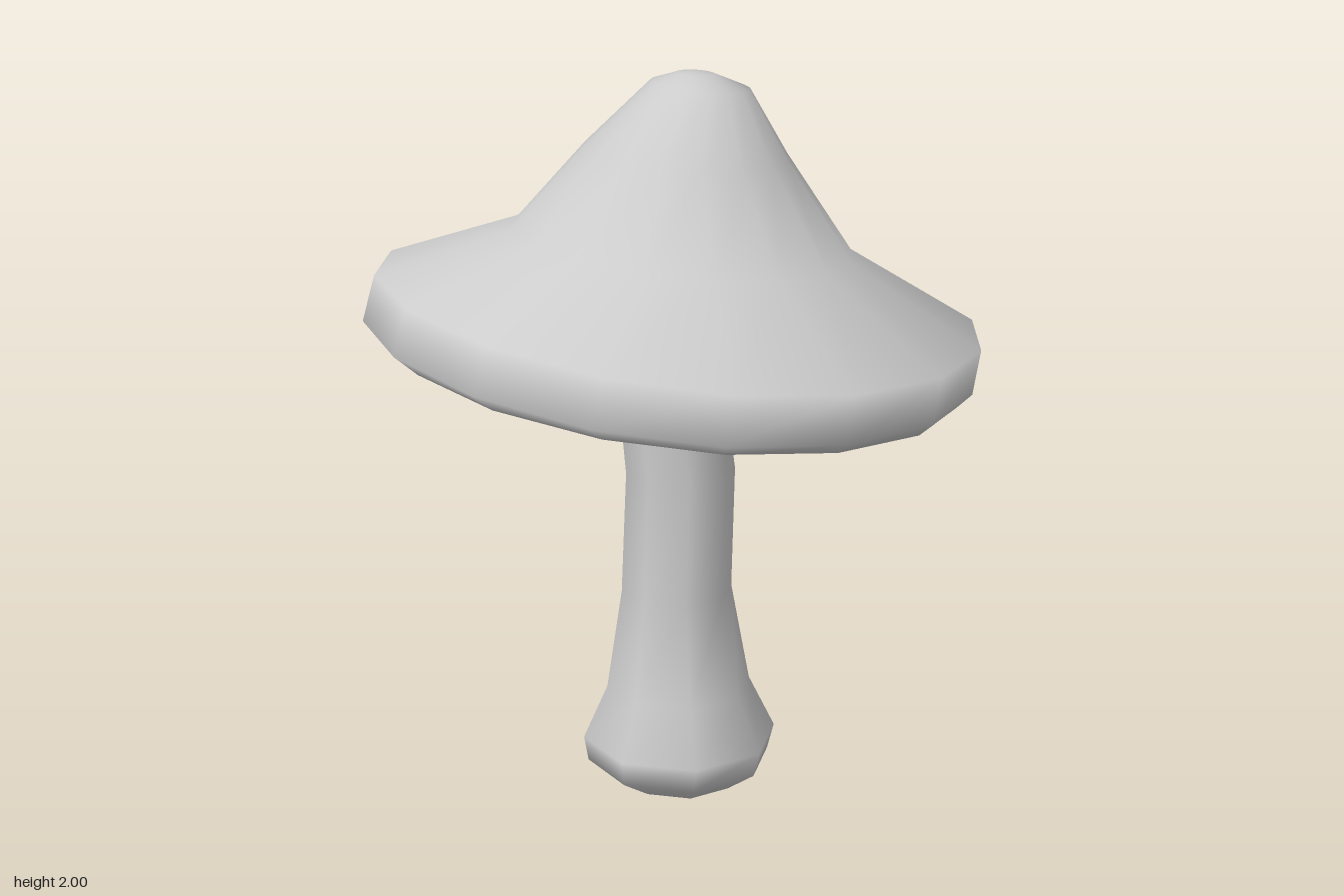
import * as THREE from 'three';
import { mergeVertices } from 'three/addons/utils/BufferGeometryUtils.js';

// Skin a surface over rings listed bottom/inside to top:
// [centreX, centreY, radius, slope along x, droop at the front and back]
function loft(rings, sides) {
  const pos = [], index = [];
  rings.forEach(([cx, cy, r, slope = 0, droop = 0], i) => {
    for (let j = 0; j < sides; j++) {
      const a = (j / sides) * Math.PI * 2;
      const dx = r * Math.cos(a);
      pos.push(cx + dx, cy + slope * dx - droop * Math.sin(a) ** 2, r * Math.sin(a));
      if (i === rings.length - 1) continue;
      const k = (j + 1) % sides;
      const p = i * sides + j, q = i * sides + k;
      const s = p + sides, t = q + sides;
      // Skip collapsed triangles at the poles
      if (r > 0) index.push(p, s, q);
      if (rings[i + 1][2] > 0) index.push(q, s, t);
    }
  });
  let geo = new THREE.BufferGeometry();
  geo.setAttribute('position', new THREE.Float32BufferAttribute(pos, 3));
  geo.setIndex(index);
  geo = mergeVertices(geo, 1e-5);
  geo.computeVertexNormals();
  return geo;
}

export function createModel() {
  const group = new THREE.Group();
  group.name = 'mushroom';
  const material = new THREE.MeshStandardMaterial({ color: 0xcccccc });
  const add = (name, geo) => {
    const mesh = new THREE.Mesh(geo, material);
    mesh.name = name;
    group.add(mesh);
  };

  // Bent stem with a bulbous foot and slim middle
  add('stem', loft([
    [0.01, 0.02, 0],
    [0.02, 0.005, 0.16],
    [0.012, 0.07, 0.255],
    [0.015, 0.14, 0.27],
    [0.012, 0.29, 0.2],
    [0.007, 0.57, 0.153],
    [0.018, 0.91, 0.15],
    [-0.018, 1.24, 0.144, -0.1],
    [-0.018, 1.3, 0.144, -0.1],
  ], 8));

  // Tilted cap: collar flaring from the stem, hollow underside, thick rim, brim and rounded peak
  add('cap', loft([
    [-0.014, 1.2, 0.128, -0.1],
    [-0.018, 1.26, 0.148, -0.1],
    [-0.015, 1.315, 0.195, -0.1],
    [-0.01, 1.365, 0.3, -0.11],
    [-0.005, 1.335, 0.43, -0.11],
    [0, 1.225, 0.76, -0.112, 0.02],
    [-0.012, 1.275, 0.812, -0.115, 0.035],
    [0.015, 1.395, 0.805, -0.119, 0.03],
    [0.025, 1.555, 0.453, -0.1],
    [0.03, 1.79, 0.272, -0.055],
    [0.07, 1.965, 0.13, -0.1],
    [0.055, 1.995, 0.05, -0.05],
    [0.05, 2, 0],
  ], 16));

  return group;
}
